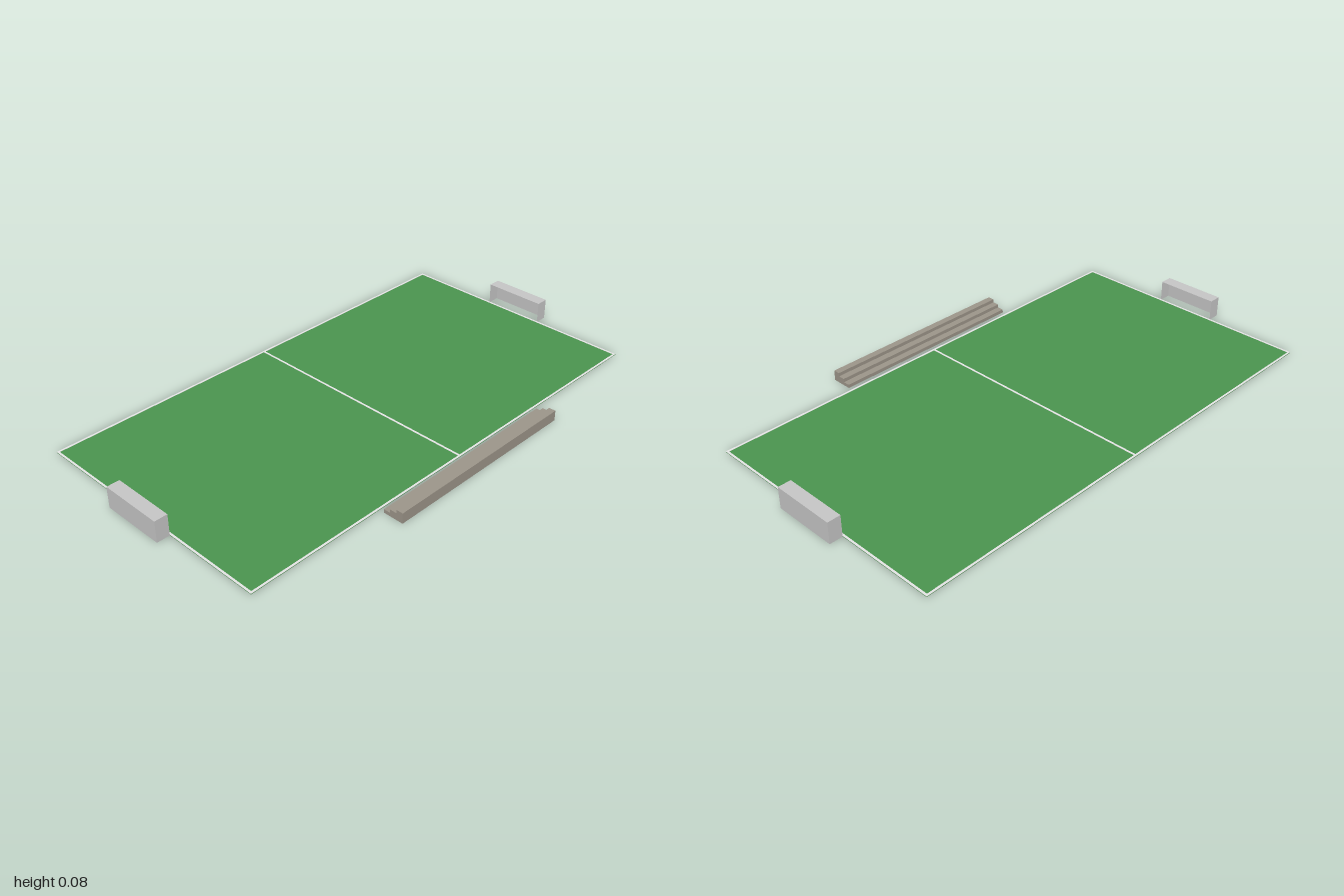
import * as THREE from 'three';

export function createModel() {
  const model = new THREE.Group();
  model.name = 'sportsField';

  const material = (name, color, side = THREE.FrontSide) => {
    const m = new THREE.MeshStandardMaterial({ color, side });
    m.name = name;
    return m;
  };
  const grass = material('grass green', 0x4c9650);
  const white = material('line white', 0xf4f4f4);
  const goalGrey = material('goal grey', 0xc8c8c8, THREE.DoubleSide);
  const stone = material('stand stone', 0x9e978b);

  const add = (name, geometry, mat, x, y, z, parent = model) => {
    const mesh = new THREE.Mesh(geometry, mat);
    mesh.name = name;
    mesh.position.set(x, y, z);
    parent.add(mesh);
    return mesh;
  };

  // Pitch
  const W = 1.016, L = 1.9, cx = -0.05, thick = 0.002;
  add('pitch', new THREE.BoxGeometry(W, thick, L), grass, cx, thick / 2, 0);

  // Painted border and halfway line
  const line = 0.008, paint = 0.001, lineY = thick + paint / 2;
  for (const s of [-1, 1]) {
    add('endLine', new THREE.BoxGeometry(W, paint, line), white, cx, lineY, s * (L - line) / 2);
    add('sideLine', new THREE.BoxGeometry(line, paint, L - 2 * line), white, cx + s * (W - line) / 2, lineY, 0);
  }
  add('halfwayLine', new THREE.BoxGeometry(W - 2 * line, paint, line), white, cx, lineY, 0);

  // Goals: thin shells open towards the pitch and underneath
  const gw = 0.25, gh = 0.084, gd = 0.05;
  for (const s of [-1, 1]) {
    const goal = new THREE.Group();
    goal.name = s > 0 ? 'frontGoal' : 'backGoal';
    goal.position.set(cx, 0, s * 0.975);
    goal.rotation.y = s > 0 ? 0 : Math.PI;
    add('goalBack', new THREE.PlaneGeometry(gw, gh), goalGrey, 0, gh / 2, gd / 2, goal);
    add('goalRoof', new THREE.PlaneGeometry(gw, gd).rotateX(-Math.PI / 2), goalGrey, 0, gh, 0, goal);
    for (const k of [-1, 1]) {
      add('goalSide', new THREE.PlaneGeometry(gd, gh).rotateY(k * Math.PI / 2), goalGrey, k * gw / 2, gh / 2, 0, goal);
    }
    model.add(goal);
  }

  // Stepped stand: one stair profile extruded along the pitch
  const x0 = 0.477, run = 0.027, rise = 0.0137, steps = 3, standLength = 0.81;
  const profile = new THREE.Shape();
  profile.moveTo(x0, 0);
  for (let i = 0; i < steps; i++) {
    profile.lineTo(x0 + i * run, (i + 1) * rise);
    profile.lineTo(x0 + (i + 1) * run, (i + 1) * rise);
  }
  profile.lineTo(x0 + steps * run, 0);
  profile.closePath();
  add('stand', new THREE.ExtrudeGeometry(profile, { depth: standLength, bevelEnabled: false }),
    stone, 0, 0, -standLength / 2);

  return model;
}
